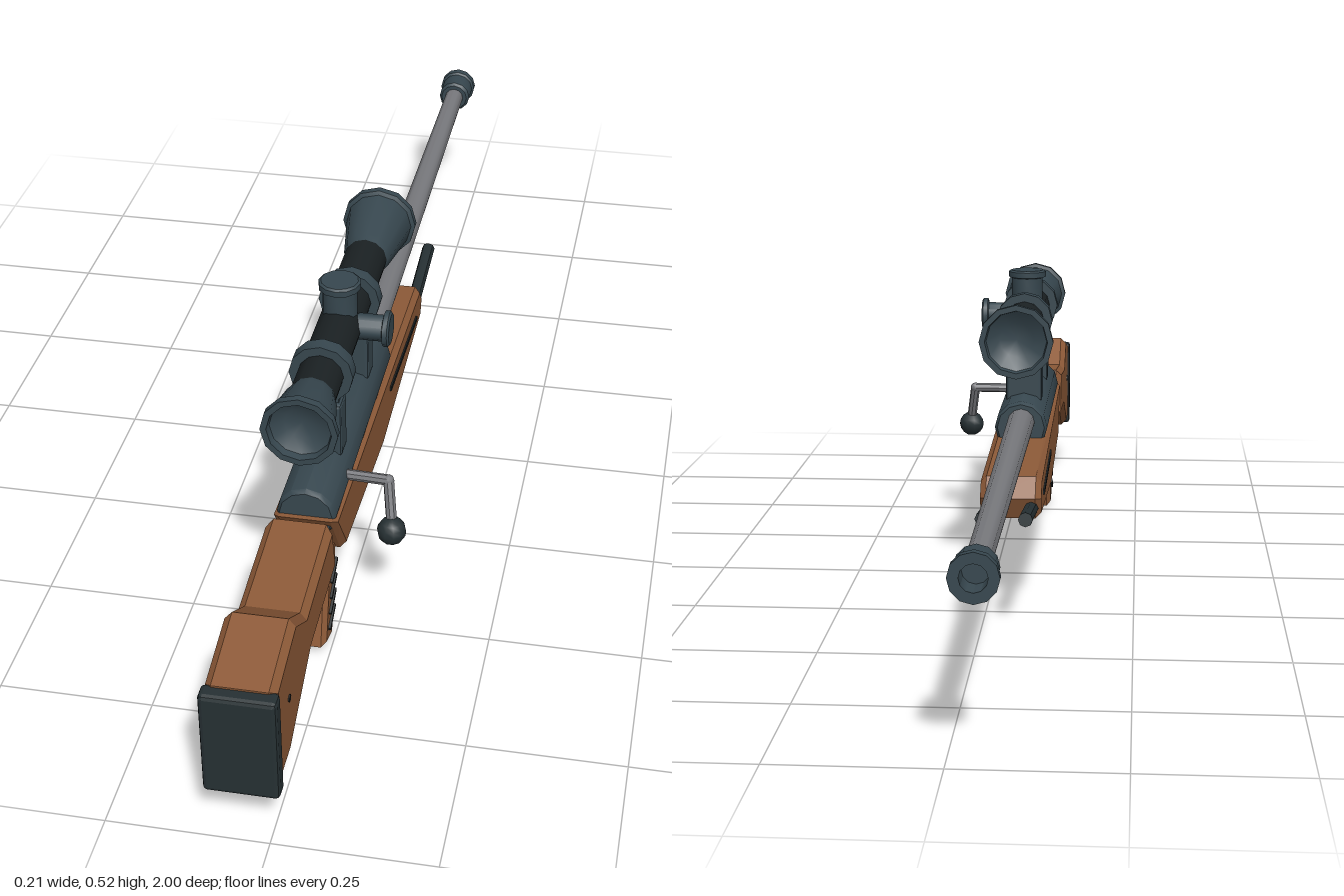
import * as THREE from 'three';
import { toCreasedNormals } from 'three/addons/utils/BufferGeometryUtils.js';
import { RoundedBoxGeometry } from 'three/addons/geometries/RoundedBoxGeometry.js';

const flat = (color) => new THREE.MeshStandardMaterial({ color, flatShading: true });
const smooth = (color) => new THREE.MeshStandardMaterial({ color });
const WOOD = 0x8d5a38, STEEL = 0x37474f, DARK = 0x263033, BLACK = 0x1b2123, GREY = 0x77787c;

export function createModel() {
  const model = new THREE.Group();
  const rifle = new THREE.Group();
  rifle.name = 'rifle';
  rifle.position.x = -0.04; // the bolt handle sticks out to one side
  model.add(rifle);

  const add = (name, geometry, material, x = 0, y = 0, z = 0) => {
    const mesh = new THREE.Mesh(geometry, material);
    mesh.name = name;
    mesh.position.set(x, y, z);
    rifle.add(mesh);
    return mesh;
  };

  // Side outline of [z, y] points, extruded across x with chamfered edges
  const slab = (name, points, halfWidth, bevel, color) => {
    const shape = new THREE.Shape(points.map(([z, y]) => new THREE.Vector2(z, y)));
    const g = new THREE.ExtrudeGeometry(shape, {
      depth: 2 * (halfWidth - bevel), bevelThickness: bevel, bevelSize: bevel,
      bevelOffset: -bevel, bevelSegments: 1,
    });
    g.translate(0, 0, bevel - halfWidth).rotateY(-Math.PI / 2);
    // the bevel starts at -bevel, so recentre
    g.computeBoundingBox();
    g.translate(-(g.boundingBox.min.x + g.boundingBox.max.x) / 2, 0, 0);
    return add(name, g, flat(color));
  };

  // Turned part from [radius, position] points, in order of rising position
  const turned = (points, sides) => toCreasedNormals(
    new THREE.LatheGeometry(points.map(([r, h]) => new THREE.Vector2(r, h)), sides), 0.65);
  const turnedZ = (name, points, y, color, sides = 12) =>
    add(name, turned(points, sides).rotateX(Math.PI / 2), smooth(color), 0, y);

  // Straight round rod between two points
  const rod = (name, a, b, radius, color, sides = 8) => {
    const from = new THREE.Vector3(...a), to = new THREE.Vector3(...b);
    const dir = to.clone().sub(from);
    const mesh = add(name, new THREE.CylinderGeometry(radius, radius, dir.length(), sides), smooth(color));
    mesh.geometry = toCreasedNormals(mesh.geometry, 0.9);
    mesh.position.copy(from).add(to).multiplyScalar(0.5);
    mesh.quaternion.setFromUnitVectors(new THREE.Vector3(0, 1, 0), dir.normalize());
  };

  // Wooden furniture
  slab('buttStock', [[0.978, 0.099], [0.978, 0.276], [0.85, 0.303], [0.78, 0.256], [0.592, 0.276],
    [0.571, 0.183], [0.758, 0.169], [0.908, 0.099]].reverse(), 0.053, 0.011, WOOD);
  slab('foreStock', [[0.563, 0.258], [-0.206, 0.228], [-0.233, 0.195], [-0.217, 0.158],
    [0.169, 0.126], [0.496, 0.156]].reverse(), 0.052, 0.01, WOOD);
  slab('grip', [[0.543, 0.18], [0.494, 0.18], [0.494, 0.135], [0.531, 0.002], [0.587, 0.018]].reverse(),
    0.035, 0.008, WOOD);
  add('buttPad', new RoundedBoxGeometry(0.115, 0.182, 0.03, 1, 0.007), flat(DARK), 0, 0.182, 0.985);

  // Grip ridges
  for (let i = 0; i < 4; i++) {
    const y = 0.048 + i * 0.026;
    add('gripRidge', new THREE.BoxGeometry(0.078, 0.007, 0.045), flat(BLACK),
      0, y, 0.518 + (0.13 - y) * 0.3).rotation.x = 0.45;
  }

  // Side grooves, screws and folded support rods
  for (const s of [-1, 1]) {
    add('sideGroove', new THREE.BoxGeometry(0.006, 0.008, 0.265), flat(BLACK),
      s * 0.052, 0.198, -0.026).rotation.x = -0.06;
    rod('stockScrew', [s * 0.05, 0.205, 0.908], [s * 0.055, 0.205, 0.908], 0.006, BLACK);
    rod('supportRod', [s * 0.035, 0.172, -0.19], [s * 0.035, 0.2, -0.4], 0.012, DARK);
  }

  // Receiver, barrel and muzzle
  turnedZ('receiver', [[0, 0.07], [0.043, 0.07], [0.048, 0.078], [0.048, 0.545], [0.043, 0.553], [0, 0.553]],
    0.257, STEEL);
  turnedZ('barrel', [[0.019, -0.94], [0.025, 0.08]], 0.267, GREY);
  turnedZ('muzzle', [[0, -0.955], [0.02, -0.955], [0.02, -1], [0.036, -1], [0.036, -0.985], [0.032, -0.981],
    [0.032, -0.94], [0.027, -0.935], [0, -0.935]], 0.267, STEEL);

  // Bolt handle with ball knob
  const elbow = [0.113, 0.264, 0.446];
  rod('boltArm', [0.03, 0.264, 0.442], elbow, 0.009, GREY);
  rod('boltHandle', elbow, [0.123, 0.195, 0.472], 0.009, GREY);
  add('boltElbow', new THREE.SphereGeometry(0.0095, 8, 6), smooth(GREY), ...elbow);
  add('boltKnob', new THREE.SphereGeometry(0.024, 10, 8), smooth(DARK), 0.123, 0.185, 0.474);

  // Trigger guard and trigger
  const guard = [[0, 0.123, 0.51], [0, 0.123, 0.412], [0, 0.13, 0.398], [0, 0.155, 0.395]];
  guard.slice(1).forEach((p, i) => rod('triggerGuard', guard[i], p, 0.008, DARK));
  rod('trigger', [0, 0.16, 0.45], [0, 0.132, 0.46], 0.005, DARK, 6);

  // Scope: tube, flared ends with recessed lenses
  const scopeY = 0.438;
  turnedZ('scopeTube', [[0.037, 0.04], [0.037, 0.505]], scopeY, BLACK);
  turnedZ('objectiveBell', [[0, -0.05], [0.03, -0.055], [0.053, -0.07], [0.055, -0.083], [0.065, -0.083],
    [0.065, -0.07], [0.058, -0.067], [0.041, 0.04], [0.037, 0.055]], scopeY, STEEL);
  turnedZ('eyepieceBell', [[0.037, 0.485], [0.042, 0.5], [0.054, 0.568], [0.061, 0.57], [0.061, 0.583],
    [0.051, 0.583], [0.049, 0.57], [0.028, 0.557], [0, 0.552]], scopeY, STEEL);

  // Scope rings on their mounts
  for (const z of [0.41, 0.185]) {
    turnedZ('scopeRing', [[0.036, z - 0.013], [0.052, z - 0.013], [0.052, z + 0.013], [0.036, z + 0.013]],
      scopeY, STEEL);
    add('mountPost', new RoundedBoxGeometry(0.067, 0.1, 0.045, 1, 0.006), flat(STEEL), 0, 0.338, z);
    add('mountNeck', new THREE.BoxGeometry(0.056, 0.03, 0.024), flat(STEEL), 0, 0.395, z);
  }

  // Adjustment turrets on the top and the left side
  const knob = (neck, cap, start, end) => turned([[neck, 0.02], [neck, start], [cap, start + 0.002],
    [cap, end - 0.003], [cap - 0.004, end], [0, end]], 12);
  add('topTurret', knob(0.029, 0.035, 0.07, 0.085), smooth(STEEL), 0, scopeY, 0.27);
  add('sideTurret', knob(0.022, 0.03, 0.072, 0.085).rotateZ(-Math.PI / 2), smooth(STEEL), 0, scopeY, 0.27);

  return model;
}
